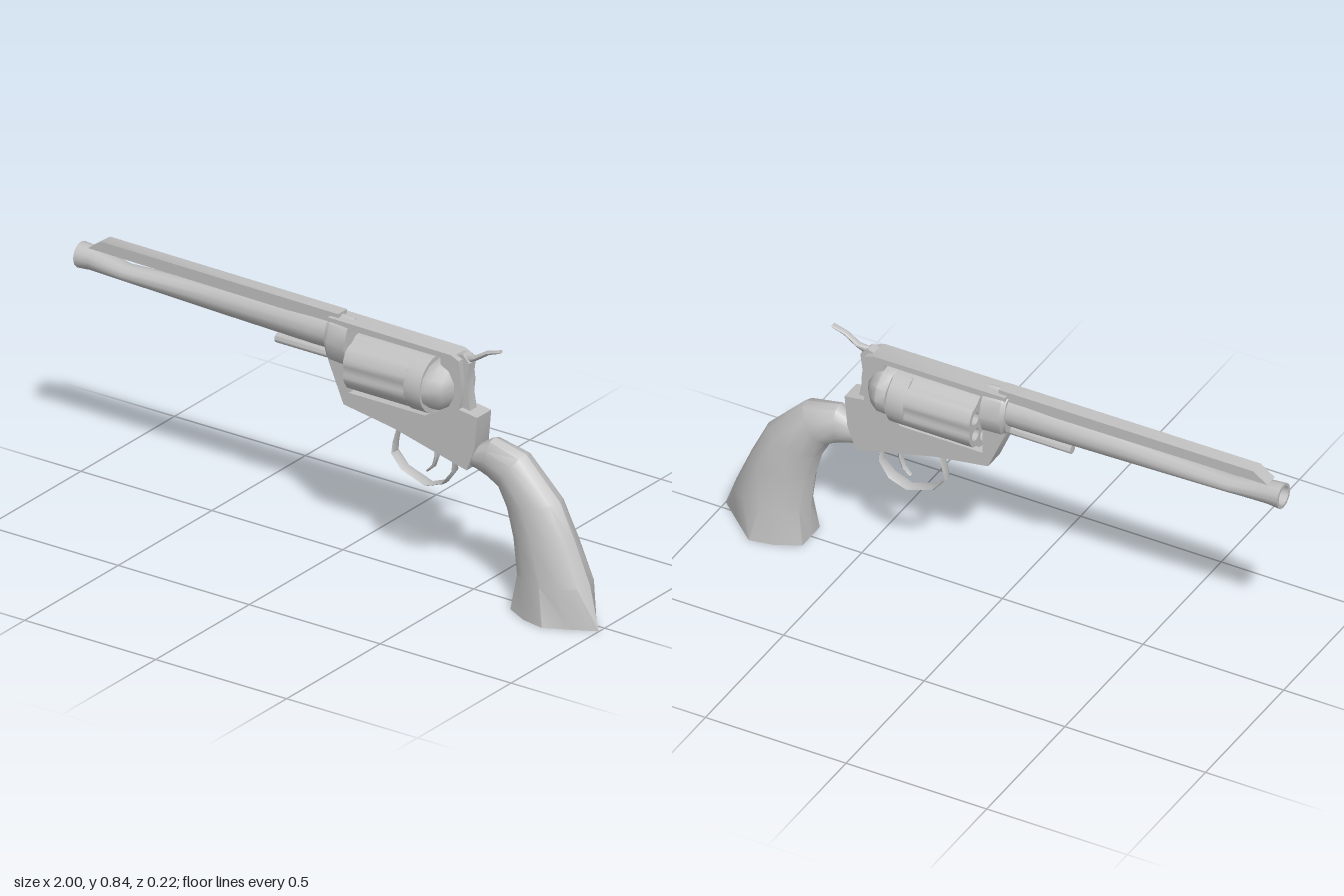
import * as THREE from 'three';
import { toCreasedNormals } from 'three/addons/utils/BufferGeometryUtils.js';

// Skin over elliptical rings; each section is [ax, ay, bx, by, halfWidth], a and b being the ring's ends in the xy plane
function loft(sections, sides = 12) {
  const pos = [], idx = [];
  for (const [ax, ay, bx, by, w] of sections) {
    for (let j = 0; j < sides; j++) {
      const t = (j / sides) * Math.PI * 2, c = Math.cos(t) / 2;
      pos.push((ax + bx) / 2 + (bx - ax) * c, (ay + by) / 2 + (by - ay) * c, w * Math.sin(t));
    }
  }
  const last = (sections.length - 1) * sides;
  for (let j = 0; j < sides; j++) {
    const k = (j + 1) % sides;
    for (let o = 0; o < last; o += sides) {
      idx.push(o + j, o + k, o + sides + j, o + k, o + sides + k, o + sides + j);
    }
    if (j > 0 && j < sides - 1) idx.push(0, k, j, last, last + j, last + k);
  }
  const g = new THREE.BufferGeometry();
  g.setAttribute('position', new THREE.Float32BufferAttribute(pos, 3));
  g.setIndex(idx);
  return g;
}

const toShape = (pts) => new THREE.Shape(pts.map(([x, y]) => new THREE.Vector2(x, y)));

// Side outline extruded evenly to both sides
function slab(shape, halfWidth) {
  return new THREE.ExtrudeGeometry(shape, { depth: halfWidth * 2, bevelEnabled: false, curveSegments: 8 })
    .translate(0, 0, -halfWidth);
}

// Rod along x
function rod(x0, x1, y, r, sides = 10) {
  return new THREE.CylinderGeometry(r, r, x1 - x0, sides).rotateZ(Math.PI / 2).translate((x0 + x1) / 2, y, 0);
}

export function createModel() {
  const group = new THREE.Group();
  const steel = new THREE.MeshStandardMaterial({ color: 0xc0c0c0 });
  steel.name = 'light grey steel';
  const add = (name, geometry, crease = 0.8) => {
    const mesh = new THREE.Mesh(toCreasedNormals(geometry, crease), steel);
    mesh.name = name;
    group.add(mesh);
  };

  // Barrel with a hollow muzzle, waisted behind the mouth
  add('barrel', loft([
    [-0.88, 0.72, -0.88, 0.76, 0.02], [-1, 0.71, -1, 0.777, 0.032],
    [-1, 0.70, -1, 0.787, 0.042], [-0.95, 0.705, -0.95, 0.782, 0.04],
    [-0.82, 0.702, -0.82, 0.756, 0.038], [-0.45, 0.69, -0.45, 0.778, 0.042],
    [-0.1, 0.682, -0.1, 0.788, 0.047], [0.02, 0.682, 0.02, 0.788, 0.047],
  ]));
  add('barrelRib', slab(toShape([[-0.955, 0.785], [-0.5, 0.78], [0, 0.775], [0, 0.815], [-0.905, 0.82]]), 0.024));
  add('ejectorRod', rod(-0.25, 0.02, 0.66, 0.016));

  // Frame with the window for the cylinder
  const frame = toShape([
    [-0.03, 0.66], [0.03, 0.52], [0.22, 0.49], [0.5, 0.42], [0.53, 0.5], [0.54, 0.61],
    [0.47, 0.62], [0.48, 0.7], [0.47, 0.785], [0.44, 0.798], [-0.03, 0.802],
  ]);
  frame.holes.push(new THREE.Path([[0.05, 0.565], [0.05, 0.78], [0.4, 0.78], [0.4, 0.6], [0.34, 0.565]]
    .map(([x, y]) => new THREE.Vector2(x, y))));
  add('frame', slab(frame, 0.038));
  add('barrelCollar', loft([
    [-0.035, 0.65, -0.035, 0.805, 0.055], [-0.02, 0.64, -0.02, 0.81, 0.064], [0.048, 0.635, 0.048, 0.805, 0.064],
  ], 8));

  // Fluted cylinder with six open chambers
  const cy = 0.667, outline = [];
  for (let i = 0; i < 48; i++) {
    const t = (i / 48) * Math.PI * 2;
    const r = 0.097 - 0.008 * Math.max(0, Math.cos(6 * t));
    outline.push([r * Math.cos(t), r * Math.sin(t)]);
  }
  const drum = toShape(outline);
  for (let i = 0; i < 6; i++) {
    const t = ((i + 0.5) / 6) * Math.PI * 2;
    const hole = new THREE.Path();
    hole.absarc(0.06 * Math.cos(t), 0.06 * Math.sin(t), 0.022, 0, Math.PI * 2, true);
    drum.holes.push(hole);
  }
  add('cylinder', new THREE.ExtrudeGeometry(drum, { depth: 0.235, bevelEnabled: false, curveSegments: 5 })
    .rotateY(Math.PI / 2).translate(0.067, cy, 0), 0.7);
  add('cylinderRear', rod(0.3, 0.362, cy, 0.097, 24));
  add('cylinderPin', rod(0.03, 0.42, cy, 0.018));

  // Rounded shield behind the cylinder
  add('recoilShield', loft([
    [0.367, 0.592, 0.367, 0.755, 0.1], [0.4, 0.592, 0.4, 0.765, 0.1],
    [0.43, 0.61, 0.43, 0.75, 0.08], [0.453, 0.64, 0.453, 0.72, 0.045],
  ]));

  // Hammer and its thumb spur
  add('hammer', slab(toShape([[0.43, 0.62], [0.5, 0.61], [0.485, 0.7], [0.495, 0.775], [0.47, 0.802], [0.43, 0.79]]), 0.018));
  add('hammerSpur', loft([
    [0.475, 0.765, 0.465, 0.8, 0.012], [0.515, 0.787, 0.508, 0.802, 0.011],
    [0.56, 0.817, 0.552, 0.83, 0.011], [0.605, 0.834, 0.602, 0.843, 0.011],
  ], 8));

  // Trigger guard strip and trigger
  add('triggerGuard', loft([
    [0.218, 0.5, 0.226, 0.5, 0.014], [0.2, 0.43, 0.207, 0.43, 0.018], [0.195, 0.39, 0.203, 0.392, 0.02],
    [0.235, 0.343, 0.24, 0.35, 0.022], [0.33, 0.311, 0.33, 0.319, 0.022], [0.395, 0.335, 0.39, 0.342, 0.022],
    [0.432, 0.385, 0.425, 0.388, 0.018], [0.432, 0.45, 0.425, 0.45, 0.014],
  ], 8));
  add('trigger', loft([
    [0.35, 0.48, 0.372, 0.48, 0.012], [0.354, 0.42, 0.368, 0.42, 0.011],
    [0.344, 0.385, 0.354, 0.381, 0.01], [0.322, 0.362, 0.327, 0.357, 0.008],
  ], 8));

  // Curved grip, flaring to a flat five-cornered butt: blunt in front, pointed at the heel
  const grip = loft([
    [0.48, 0.425, 0.48, 0.52, 0.03], [0.52, 0.42, 0.525, 0.505, 0.034], [0.57, 0.405, 0.58, 0.542, 0.05],
    [0.61, 0.385, 0.7, 0.515, 0.062], [0.64, 0.33, 0.83, 0.385, 0.072], [0.665, 0.24, 0.89, 0.26, 0.08],
    [0.68, 0.12, 0.945, 0.13, 0.09], [0.68, 0, 1, 0, 0.112],
  ]);
  const p = grip.attributes.position;
  for (let i = 0; i < p.count; i++) {
    if (p.getY(i) > 0.001) continue;
    const u = (p.getX(i) - 0.84) / 0.16, z = p.getZ(i);
    if (u > 0.01) p.setZ(i, Math.sign(z) * 0.112 * (1 - u) + 0.03 * u);
    if (u < -0.8) p.setX(i, 0.68);
  }
  add('grip', grip, 0.6);

  return group;
}
